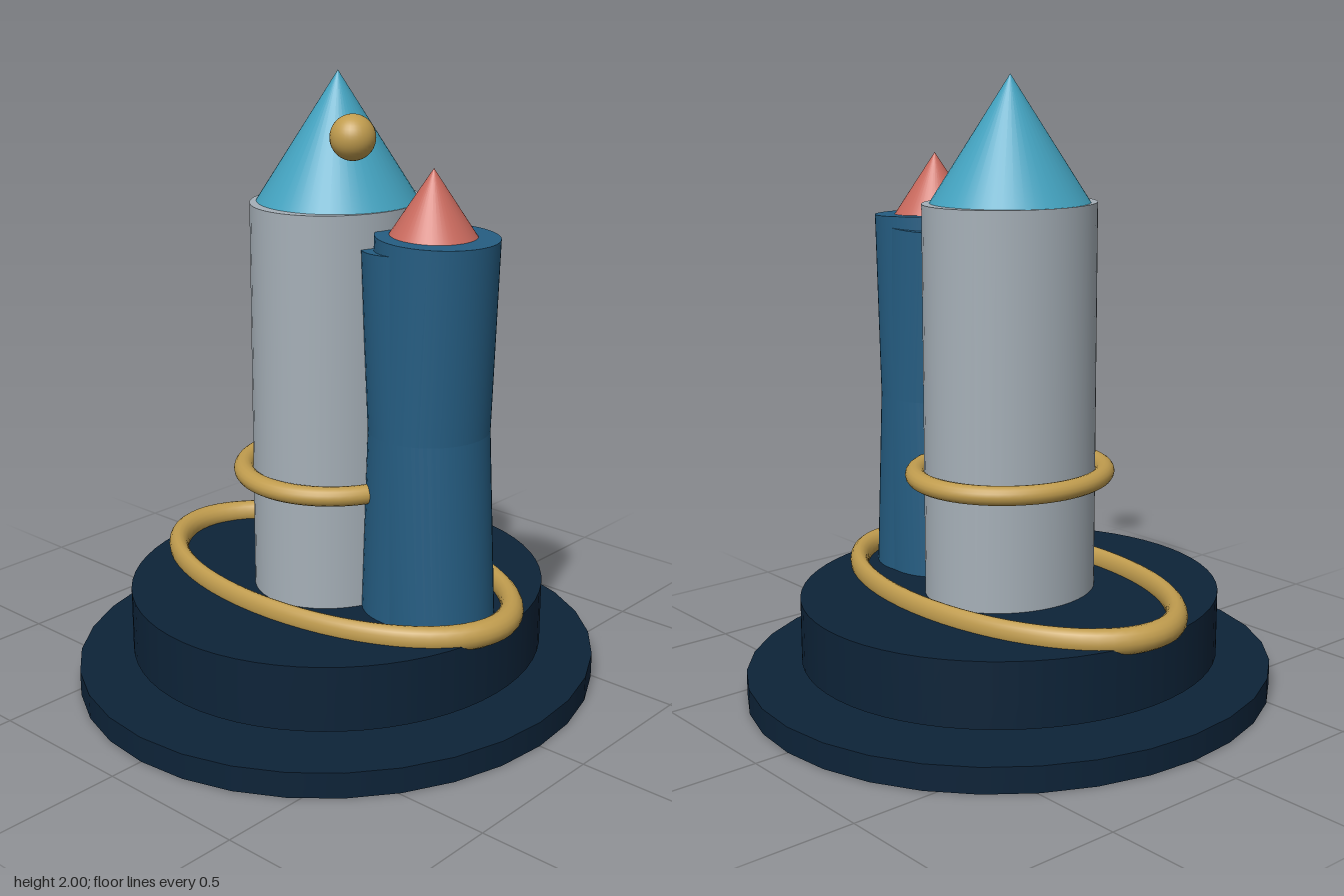
import * as THREE from 'three';

const paint = (name, color) => {
  const m = new THREE.MeshStandardMaterial({ color });
  m.name = name;
  return m;
};

export function createModel() {
  const model = new THREE.Group();
  model.name = 'towerMonument';
  const navy = paint('navy', 0x0d2338);
  const grey = paint('paleGrey', 0xa6b0b8);
  const blue = paint('deepBlue', 0x255d82);
  const teal = paint('teal', 0x43a2bf);
  const coral = paint('coral', 0xc8695d);
  const gold = paint('gold', 0xc09c4e);

  const add = (name, geometry, material, x, y, z) => {
    const mesh = new THREE.Mesh(geometry, material);
    mesh.name = name;
    mesh.position.set(x, y, z);
    model.add(mesh);
    return mesh;
  };
  // Upright drum or cone with an oval footprint, from y0 to y1
  const oval = (name, material, rx, rz, y0, y1, { x = 0, sides = 48, pointed = false } = {}) => {
    const g = new THREE.CylinderGeometry(pointed ? 0 : 1, 1, y1 - y0, sides);
    g.scale(rx, 1, rz);
    return add(name, g, material, x, (y0 + y1) / 2, 0);
  };
  // Flat-lying ring squashed along z
  const ring = (name, radius, tube, zScale, y) => {
    const g = new THREE.TorusGeometry(radius, tube, 16, 64);
    g.rotateX(Math.PI / 2);
    g.scale(1, 1, zScale);
    return add(name, g, gold, 0, y, 0);
  };

  // Two-step base with a shadow gap
  oval('basePlate', navy, 0.84, 0.887, 0, 0.083, { sides: 32 });
  oval('baseDrum', navy, 0.667, 0.703, 0.118, 0.33, { sides: 64 });

  // Main tower and roof
  oval('mainTower', grey, 0.256, 0.296, 0.33, 1.6);
  oval('mainRoof', teal, 0.252, 0.26, 1.6, 2, { pointed: true });

  // Side tower: two slightly leaning cylinders that cross
  const leaning = (name, xBottom, xTop, yTop) => {
    const rise = yTop - 0.32, run = xTop - xBottom;
    const mesh = add(name, new THREE.CylinderGeometry(0.19, 0.19, Math.hypot(rise, run), 48),
      blue, (xBottom + xTop) / 2, 0.32 + rise / 2, 0);
    mesh.rotation.z = -Math.atan2(run, rise);
  };
  leaning('sideTowerOuter', 0.36, 0.402, 1.538);
  leaning('sideTowerInner', 0.416, 0.348, 1.5);
  oval('sideRoof', coral, 0.136, 0.136, 1.535, 1.74, { x: 0.383, pointed: true });

  // Gold rings and floating ball
  ring('baseRing', 0.664, 0.042, 0.58, 0.344);
  ring('towerRing', 0.296, 0.031, 1.08, 0.724);
  add('floatingBall', new THREE.SphereGeometry(0.067, 32, 20), gold, 0.295, 1.85, 0.262);

  return model;
}
